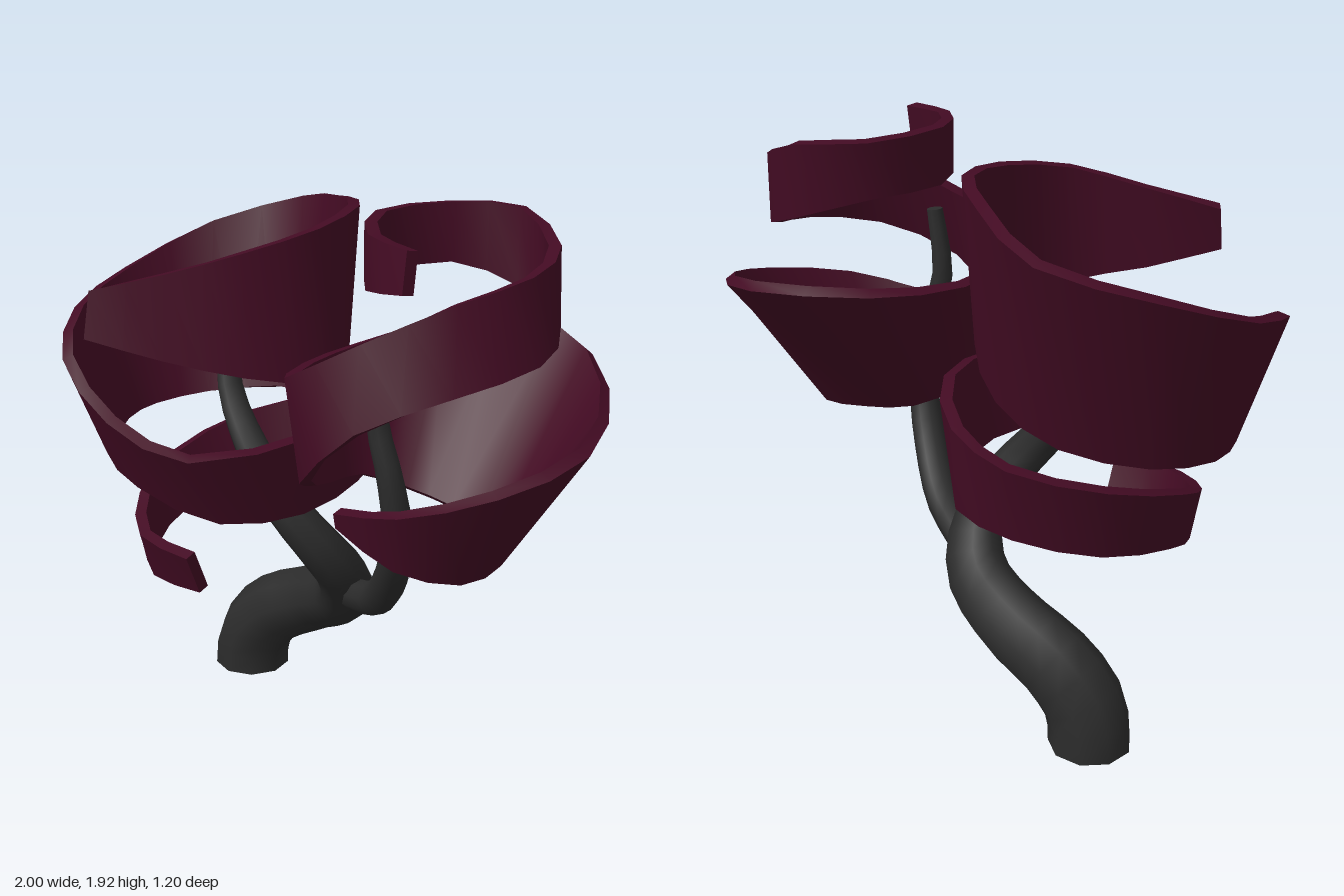
import * as THREE from 'three';

const bark = new THREE.MeshStandardMaterial({ color: 0x2c2c2c });
bark.name = 'charcoal bark';
const leaf = new THREE.MeshStandardMaterial({ color: 0x430b23 });
leaf.name = 'dark burgundy';

const v = (a) => new THREE.Vector3(...a);

// Tapered limb: a tube whose rings are scaled by the radii along its length
function limb(name, points, radii, segments) {
  const sides = 9;
  const curve = new THREE.CatmullRomCurve3(points.map(v));
  const geo = new THREE.TubeGeometry(curve, segments, 1, sides);
  const radiusAt = (t) => {
    const f = t * (radii.length - 1);
    const i = Math.min(Math.floor(f), radii.length - 2);
    return THREE.MathUtils.lerp(radii[i], radii[i + 1], f - i);
  };
  const pos = geo.attributes.position;
  const p = new THREE.Vector3();
  const rings = [];
  for (let i = 0; i <= segments; i++) {
    const c = curve.getPointAt(i / segments);
    const ring = [];
    for (let j = 0; j <= sides; j++) {
      const k = i * (sides + 1) + j;
      p.fromBufferAttribute(pos, k).sub(c).multiplyScalar(radiusAt(i / segments)).add(c);
      pos.setXYZ(k, p.x, p.y, p.z);
      ring.push(p.clone());
    }
    rings.push(ring);
  }
  const group = new THREE.Group();
  group.name = name;
  const tube = new THREE.Mesh(geo, bark);
  tube.name = name + 'Tube';
  group.add(tube);
  // flat ends, fanned from the first and last rings
  for (const ring of [rings[0], rings[segments].reverse()]) {
    const capGeo = new THREE.BufferGeometry().setFromPoints(ring);
    const index = [];
    for (let j = 1; j < sides - 1; j++) index.push(0, j, j + 1);
    capGeo.setIndex(index);
    capGeo.computeVertexNormals();
    const cap = new THREE.Mesh(capGeo, bark);
    cap.name = name + 'End';
    group.add(cap);
  }
  return group;
}

// Ribbon swept between a lower and an upper rail; rows are [lower xyz, upper xyz]
function ribbon(name, rows, thickness) {
  const steps = (rows.length - 1) * 2;
  const low = new THREE.CatmullRomCurve3(rows.map((r) => v(r.slice(0, 3))));
  const high = new THREE.CatmullRomCurve3(rows.map((r) => v(r.slice(3))));
  const sections = [];
  for (let i = 0; i <= steps; i++) {
    const t = i / steps;
    const b = low.getPoint(t), u = high.getPoint(t);
    const along = low.getTangent(t).add(high.getTangent(t));
    const inward = along.cross(u.clone().sub(b)).normalize().multiplyScalar(thickness);
    sections.push([b, u, u.clone().add(inward), b.clone().add(inward)]);
  }
  const pos = [], index = [];
  const push = (p) => pos.push(p.x, p.y, p.z);
  // four long faces, each with its own vertices so the rims stay sharp
  for (let k = 0; k < 4; k++) {
    const start = pos.length / 3;
    for (const s of sections) { push(s[k]); push(s[(k + 1) % 4]); }
    for (let i = 0; i < steps; i++) {
      const a = start + i * 2;
      index.push(a, a + 1, a + 3, a, a + 3, a + 2);
    }
  }
  // end faces
  for (const s of [[...sections[0]].reverse(), sections[steps]]) {
    const a = pos.length / 3;
    s.forEach(push);
    index.push(a, a + 1, a + 2, a, a + 2, a + 3);
  }
  const geo = new THREE.BufferGeometry();
  geo.setAttribute('position', new THREE.Float32BufferAttribute(pos, 3));
  geo.setIndex(index);
  geo.computeVertexNormals();
  const mesh = new THREE.Mesh(geo, leaf);
  mesh.name = name;
  return mesh;
}

export function createModel() {
  const model = new THREE.Group();
  model.name = 'spiralTree';

  // Trunk that bends over and runs on into the branch on the -x side
  model.add(limb('trunk', [
    [-0.57, 0, -0.255], [-0.57, 0.04, -0.255], [-0.54, 0.15, -0.255], [-0.44, 0.26, -0.265],
    [-0.25, 0.36, -0.265], [-0.07, 0.45, -0.2], [0.0, 0.57, -0.11], [-0.02, 0.7, -0.01],
    [-0.13, 0.86, 0.06], [-0.28, 1.03, 0.05], [-0.41, 1.2, 0.01], [-0.46, 1.37, -0.03],
    [-0.47, 1.52, -0.05],
  ], [0.14, 0.137, 0.128, 0.112, 0.09, 0.078, 0.068, 0.052, 0.04, 0.03], 26));

  // Slender branch on the +x side
  model.add(limb('sideBranch', [
    [-0.06, 0.47, -0.18], [0.08, 0.52, -0.1], [0.22, 0.58, -0.02], [0.35, 0.73, 0.08],
    [0.43, 0.93, 0.15], [0.42, 1.12, 0.18], [0.37, 1.33, 0.19], [0.4, 1.56, 0.19],
  ], [0.055, 0.06, 0.06, 0.058, 0.05, 0.042, 0.035, 0.028], 18));

  // Large ribbon, climbing two turns from its narrow lower end
  model.add(ribbon('largeSpiralRibbon', [
    [-0.26, 0.59, 0.35, -0.26, 0.735, 0.41],
    [-0.5, 0.58, 0.33, -0.52, 0.74, 0.37],
    [-0.67, 0.61, 0.18, -0.7, 0.8, 0.19],
    [-0.71, 0.67, -0.02, -0.755, 0.88, -0.02],
    [-0.62, 0.73, -0.29, -0.66, 0.98, -0.33],
    [-0.4, 0.8, -0.47, -0.41, 1.06, -0.52],
    [-0.19, 0.85, -0.48, -0.2, 1.14, -0.51],
    [-0.02, 0.89, -0.21, 0.02, 1.18, -0.26],
    [0.0, 0.87, 0.1, 0.055, 1.16, 0.08],
    [-0.15, 0.875, 0.36, -0.15, 1.13, 0.5],
    [-0.48, 0.94, 0.41, -0.51, 1.19, 0.51],
    [-0.71, 0.99, 0.33, -0.79, 1.34, 0.44],
    [-0.84, 1.03, 0.14, -0.95, 1.45, 0.23],
    [-0.87, 1.04, -0.05, -1.0, 1.53, -0.07],
    [-0.76, 1.06, -0.25, -0.87, 1.66, -0.41],
    [-0.5, 1.1, -0.37, -0.56, 1.76, -0.6],
    [-0.2, 1.15, -0.28, -0.25, 1.83, -0.44],
    [0.0, 1.25, -0.12, -0.05, 1.855, -0.25],
    [0.05, 1.32, 0.06, 0.0, 1.83, 0.02],
    [-0.08, 1.38, 0.3, -0.1, 1.78, 0.28],
    [-0.3, 1.43, 0.45, -0.3, 1.71, 0.43],
    [-0.5, 1.5, 0.6, -0.51, 1.65, 0.56],
  ], 0.04));

  // Small ribbon, winding down two turns and tapering to a point
  model.add(ribbon('smallSpiralRibbon', [
    [0.55, 1.76, 0.31, 0.55, 1.89, 0.29],
    [0.36, 1.73, 0.24, 0.36, 1.9, 0.23],
    [0.22, 1.72, 0.0, 0.21, 1.915, 0.0],
    [0.3, 1.72, -0.27, 0.29, 1.91, -0.29],
    [0.52, 1.65, -0.39, 0.5, 1.9, -0.41],
    [0.73, 1.57, -0.28, 0.7, 1.82, -0.31],
    [0.825, 1.52, -0.02, 0.77, 1.78, -0.05],
    [0.7, 1.46, 0.25, 0.67, 1.73, 0.2],
    [0.46, 1.34, 0.42, 0.43, 1.6, 0.35],
    [0.24, 1.13, 0.41, 0.2, 1.47, 0.43],
    [0.15, 1.05, 0.2, 0.08, 1.44, 0.2],
    [0.14, 1.02, 0.0, 0.05, 1.43, -0.1],
    [0.26, 0.96, -0.12, 0.18, 1.46, -0.43],
    [0.45, 0.92, -0.15, 0.53, 1.46, -0.6],
    [0.66, 0.88, -0.12, 0.86, 1.37, -0.38],
    [0.74, 0.86, 0.02, 1.0, 1.27, -0.04],
    [0.74, 0.87, 0.24, 0.89, 1.2, 0.28],
    [0.6, 0.93, 0.4, 0.65, 1.13, 0.45],
    [0.4, 1.03, 0.43, 0.4, 1.08, 0.44],
  ], 0.04));

  return model;
}
